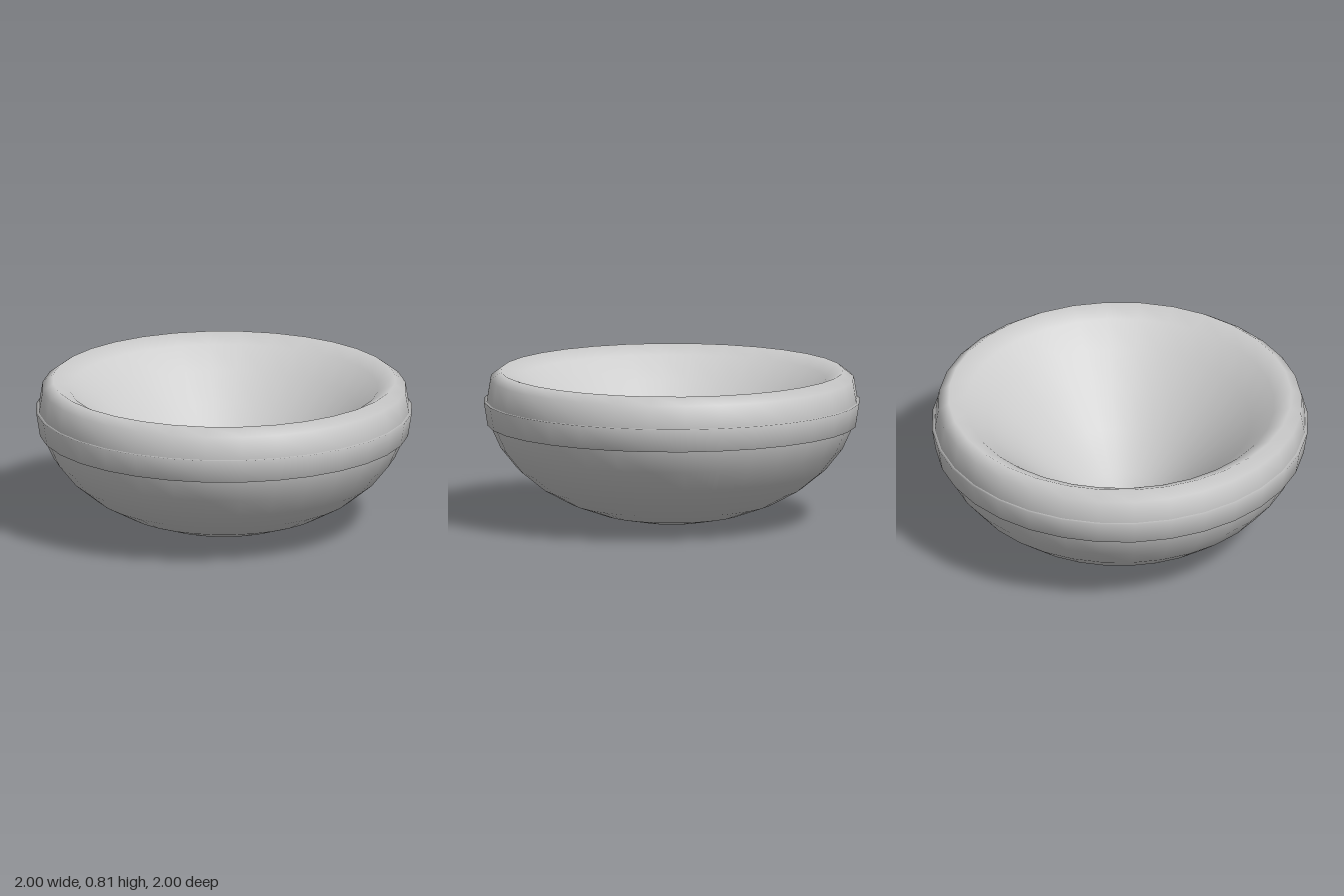
import * as THREE from 'three';

const SIDES = 32;
const RADIUS = 0.985;
const HALF_HEIGHT = 0.655;

export function createModel() {
  const group = new THREE.Group();
  const material = new THREE.MeshStandardMaterial({ color: 0xcccccc, side: THREE.DoubleSide });

  const addLathe = (name, points) => {
    const profile = points.map(([r, y]) => new THREE.Vector2(r, y));
    const mesh = new THREE.Mesh(new THREE.LatheGeometry(profile, SIDES), material);
    mesh.name = name;
    group.add(mesh);
  };

  // Bowl: flattened half sphere below, then a rolled rim that runs smoothly into the hollow
  const bowl = [];
  for (let i = 0; i <= 8; i++) {
    const a = (i / 8) * (Math.PI / 2);
    bowl.push([RADIUS * Math.sin(a), HALF_HEIGHT * (1 - Math.cos(a))]);
  }
  const upperHeights = [0.77, 0.812, 0.765, 0.655, 0.515, 0.355, 0.205];
  upperHeights.forEach((y, i) => {
    bowl.push([RADIUS * Math.cos(((i + 1) / 8) * (Math.PI / 2)), y]);
  });
  // A tiny level disc keeps the centre of the hollow smooth
  bowl.push([0.02, 0.14], [0, 0.14]);
  addLathe('bowl', bowl);

  // Raised band around the outside, softly shaded into its lower and upper ledges
  addLathe('band', [[0.94, 0.525], [0.98, 0.525], [1, 0.65], [0.975, 0.65]]);

  return group;
}
